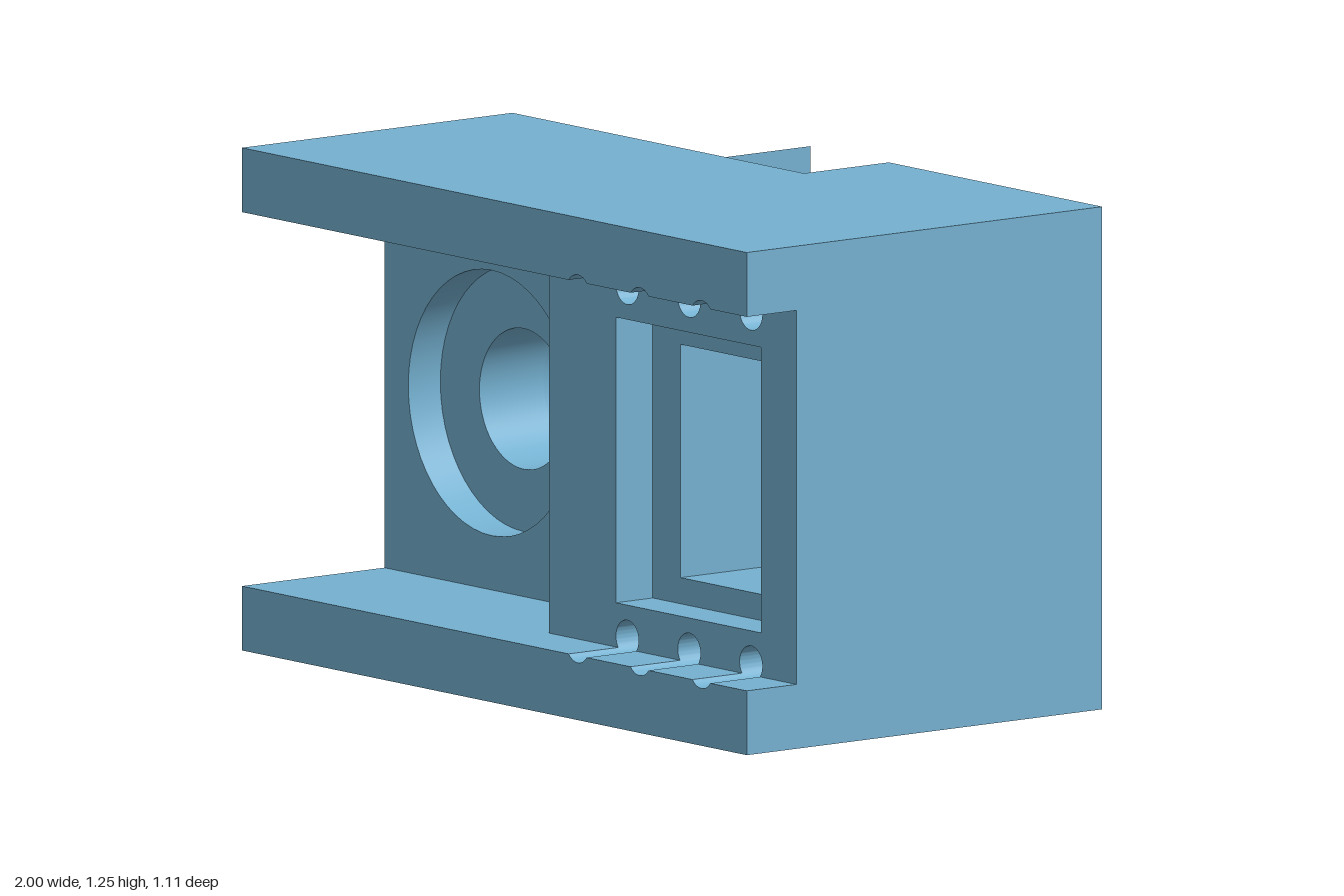
import * as THREE from 'three';
import { toCreasedNormals } from 'three/addons/utils/BufferGeometryUtils.js';

const H = 1.25, MID = H / 2;
const BORE_X = -0.575, BORE_R = 0.175;
const SCREW_X = [0.33, 0.575, 0.82], SCREW_R = 0.045, SCREW_Y = 0.1875;
const RAIL = 0.16;

const material = new THREE.MeshStandardMaterial({ color: 0x74b0d0, side: THREE.DoubleSide });

// Outlines and holes in the XY plane
const poly = (pts) => new THREE.Shape(pts.map(([x, y]) => new THREE.Vector2(x, y)));
const rectPts = (x0, x1, y0, y1) => [[x0, y0], [x1, y0], [x1, y1], [x0, y1]];
const rect = (...r) => poly(rectPts(...r));
const circle = (x, y, r) => new THREE.Shape().absarc(x, y, r, 0, Math.PI * 2);
const bore = (r) => circle(BORE_X, MID, r);

function roundedRect(x0, x1, y0, y1, r) {
  const s = new THREE.Shape();
  s.absarc(x1 - r, y0 + r, r, -Math.PI / 2, 0);
  s.absarc(x1 - r, y1 - r, r, 0, Math.PI / 2);
  s.absarc(x0 + r, y1 - r, r, Math.PI / 2, Math.PI);
  s.absarc(x0 + r, y0 + r, r, Math.PI, Math.PI * 1.5);
  return s;
}

export function createModel() {
  const group = new THREE.Group();

  const add = (name, geometry) => {
    const mesh = new THREE.Mesh(toCreasedNormals(geometry, 0.5), material);
    mesh.name = name;
    group.add(mesh);
  };

  // A slab between two depths; an optional rule moves its vertices
  const slab = (name, z0, z1, outline, holes = [], rule) => {
    outline.holes = holes;
    const g = new THREE.ExtrudeGeometry(outline, { depth: z1 - z0, bevelEnabled: false, curveSegments: 28 });
    g.translate(0, 0, z0);
    if (rule) {
      const p = g.attributes.position, v = new THREE.Vector3();
      for (let i = 0; i < p.count; i++) {
        rule(v.fromBufferAttribute(p, i));
        p.setXYZ(i, v.x, v.y, v.z);
      }
    }
    add(name, g);
  };

  const screws = () => SCREW_X.flatMap((x) => [SCREW_Y, H - SCREW_Y].map((y) => circle(x, y, SCREW_R)));
  const recess = [0.285, 0.86, 0.27, 0.98];
  const windowSize = [0.395, 0.75, 0.335, 0.915];
  const flare = [0.335, 0.81, 0.27, 0.98];
  const pocket = [0.265, 0.885, 0.11, 1.14];
  const win = () => rect(...windowSize);
  const slot = () => roundedRect(-0.09, 0.09, RAIL, H - RAIL, 0.04);

  // Front rails with screw clearance grooves
  const railPts = [[-1, 0], [1, 0], [1, RAIL]];
  const a = Math.asin((SCREW_Y - RAIL) / SCREW_R);
  for (const x of [...SCREW_X].reverse()) {
    for (let i = 0; i <= 10; i++) {
      const t = -a - (Math.PI - 2 * a) * (i / 10);
      railPts.push([x + SCREW_R * Math.cos(t), SCREW_Y + SCREW_R * Math.sin(t)]);
    }
  }
  railPts.push([-1, RAIL]);
  slab('lowerRail', 0.4, 0.555, poly(railPts));
  slab('upperRail', 0.4, 0.555, poly(railPts.map(([x, y]) => [x, H - y])));

  // Front half: raised mounting face on the right, deep channel on the left
  const channelOutline = () => poly([[-1, 0], [1, 0], [1, H], [-1, H], [-1, H - RAIL],
    [0.02, H - RAIL], [0.02, RAIL], [-1, RAIL]]);
  slab('mountingFace', 0.285, 0.4, channelOutline(), [rect(...recess), ...screws()]);
  slab('channelWalls', 0.11, 0.285, channelOutline(), [win(), ...screws()]);

  // Solid core with counterbore, bore and the blind slot at the back
  const full = () => rect(-1, 1, 0, H);
  slab('counterboreLayer', 0.01, 0.11, full(), [win(), bore(0.33), ...screws()]);
  slab('coreLayer', -0.19, 0.01, full(), [win(), bore(BORE_R), ...screws()]);
  slab('slotLayer', -0.25, -0.19, full(), [win(), bore(BORE_R), slot(), ...screws()]);
  slab('backWall', -0.29, -0.25, rect(-1, 0.155, 0, H), [bore(BORE_R), slot()]);

  // Rear block with pocket
  slab('pocketFloor', -0.345, -0.25, rect(0.155, 1, 0, H), [rect(...flare), ...screws()]);
  slab('pocketFrame', -0.555, -0.345, rect(0.155, 1, 0, H), [rect(...pocket)]);

  // Flared walls leading from the pocket to the window
  const inner = rectPts(...windowSize), outer = rectPts(...flare), verts = [];
  for (let i = 0; i < 4; i++) {
    const j = (i + 1) % 4;
    const A = [...outer[i], -0.345], B = [...outer[j], -0.345];
    const C = [...inner[j], -0.25], D = [...inner[i], -0.25];
    verts.push(...A, ...C, ...B, ...A, ...D, ...C);
  }
  const flareGeo = new THREE.BufferGeometry();
  flareGeo.setAttribute('position', new THREE.Float32BufferAttribute(verts, 3));
  add('windowFlare', flareGeo);

  // Tapered rear boss, narrowing toward the side
  const halfHeight = (x) => MID - 0.466 * (-0.155 - x);
  const taper = (xEnd) => poly([[xEnd, MID - halfHeight(xEnd)], [-0.155, 0], [-0.155, H],
    [xEnd, MID + halfHeight(xEnd)]]);
  slab('bossBase', -0.445, -0.29, taper(-1), [bore(BORE_R)]);

  // Upper boss layers: countersink shrinks and the end face widens with depth
  const bossLayer = (name, z0, z1, x0, x1, r0, r1) =>
    slab(name, z0, z1, taper(x0), [bore(r0)], (v) => {
      if (v.z < z1 - 1e-4) return;
      const dx = v.x - BORE_X, dy = v.y - MID;
      if (Math.abs(Math.hypot(dx, dy) - r0) < 1e-3) {
        v.x = BORE_X + dx * r1 / r0;
        v.y = MID + dy * r1 / r0;
      } else if (Math.abs(v.x - x0) < 1e-4) {
        v.x = x1;
        v.y = MID + Math.sign(dy) * halfHeight(x1);
      }
    });
  bossLayer('bossStep', -0.49, -0.445, -0.93, -0.93, 0.247, 0.23);
  bossLayer('bossTop', -0.555, -0.49, -0.865, -0.93, 0.272, 0.247);

  return group;
}
